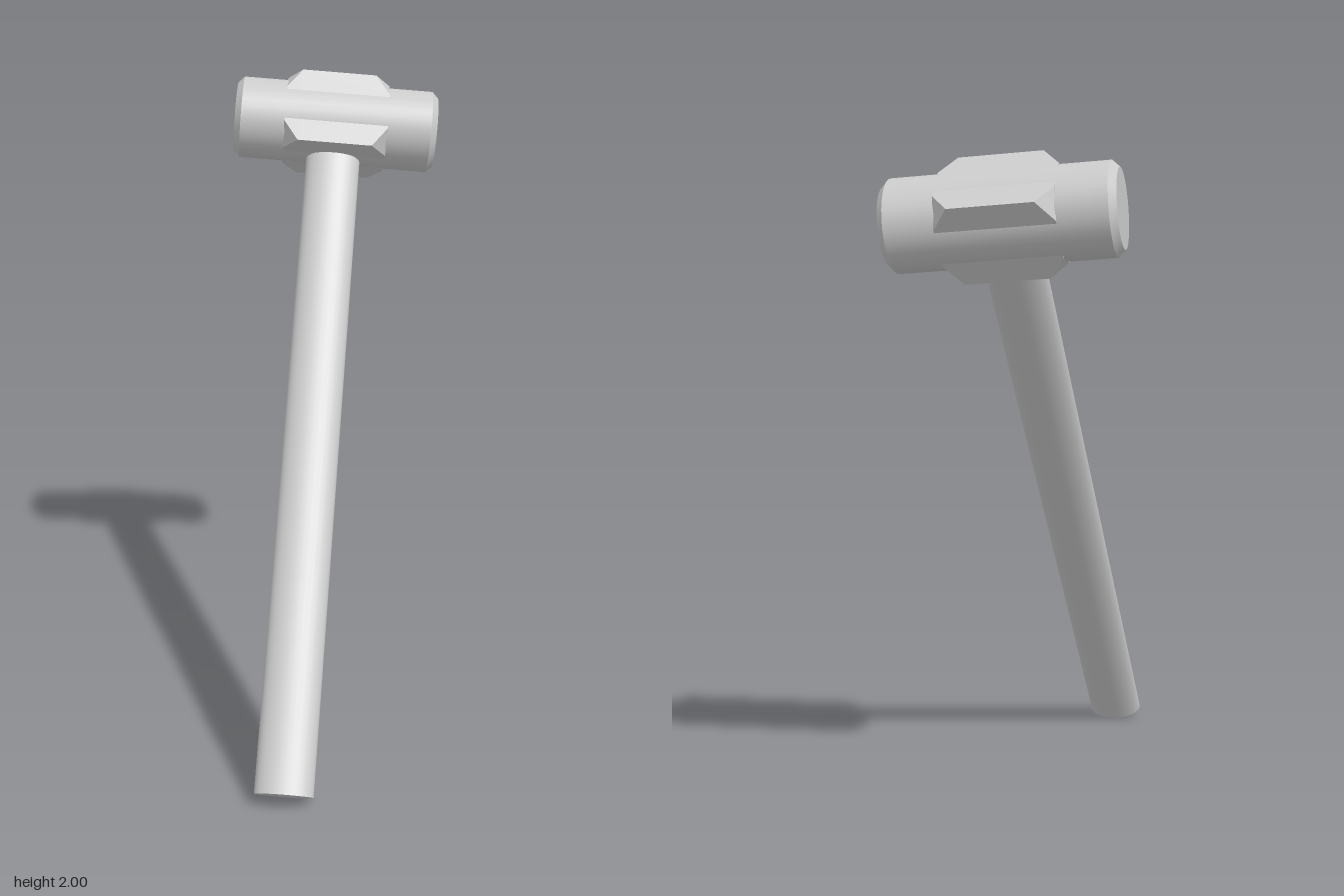
import * as THREE from 'three';
import { toCreasedNormals } from 'three/addons/utils/BufferGeometryUtils.js';
import { ConvexGeometry } from 'three/addons/geometries/ConvexGeometry.js';

const material = new THREE.MeshStandardMaterial({ color: 0xcccccc });

function addMesh(parent, name, geometry) {
  const mesh = new THREE.Mesh(geometry, material);
  mesh.name = name;
  parent.add(mesh);
  return mesh;
}

// Square block whose long edges are cut back obliquely towards both ends
function blockGeometry(halfY, halfZ, edgeX, endX, cut) {
  const points = [];
  for (const sx of [-1, 1]) for (const sy of [-1, 1]) for (const sz of [-1, 1]) {
    const add = (x, y, z) => points.push(new THREE.Vector3(sx * x, sy * y, sz * z));
    add(edgeX, halfY, halfZ);
    add(endX, halfY - cut, halfZ);
    add(endX, halfY, halfZ - cut);
  }
  return new ConvexGeometry(points);
}

export function createModel() {
  const hammer = new THREE.Group();
  hammer.name = 'sledgehammer';

  // Everything leans back and is turned slightly about the handle
  const leaning = new THREE.Group();
  leaning.name = 'leaningHammer';
  leaning.position.set(0, 0.031, 0.698);
  leaning.rotation.set(-0.61, 0.14, 0);
  hammer.add(leaning);

  // Oval handle, ending inside the head
  const handleLength = 2.18;
  const handle = new THREE.CylinderGeometry(1, 1, handleLength, 32);
  handle.scale(0.088, 1, 0.051);
  handle.translate(0, handleLength / 2, 0);
  addMesh(leaning, 'handle', handle);

  const head = new THREE.Group();
  head.name = 'head';
  head.position.y = handleLength;
  leaning.add(head);

  // Round striking barrel with bevelled faces
  const r = 0.132, half = 0.33, bevel = 0.02;
  const profile = [
    [0, -half], [r - bevel, -half], [r, -half + bevel],
    [r, half - bevel], [r - bevel, half], [0, half],
  ].map(([x, y]) => new THREE.Vector2(x, y));
  const barrel = toCreasedNormals(new THREE.LatheGeometry(profile, 32), 0.5);
  barrel.rotateZ(-Math.PI / 2);
  addMesh(head, 'barrel', barrel);

  // Central eye block around the handle
  addMesh(head, 'eyeBlock', blockGeometry(0.127, 0.121, 0.12, 0.168, 0.066));

  return hammer;
}
